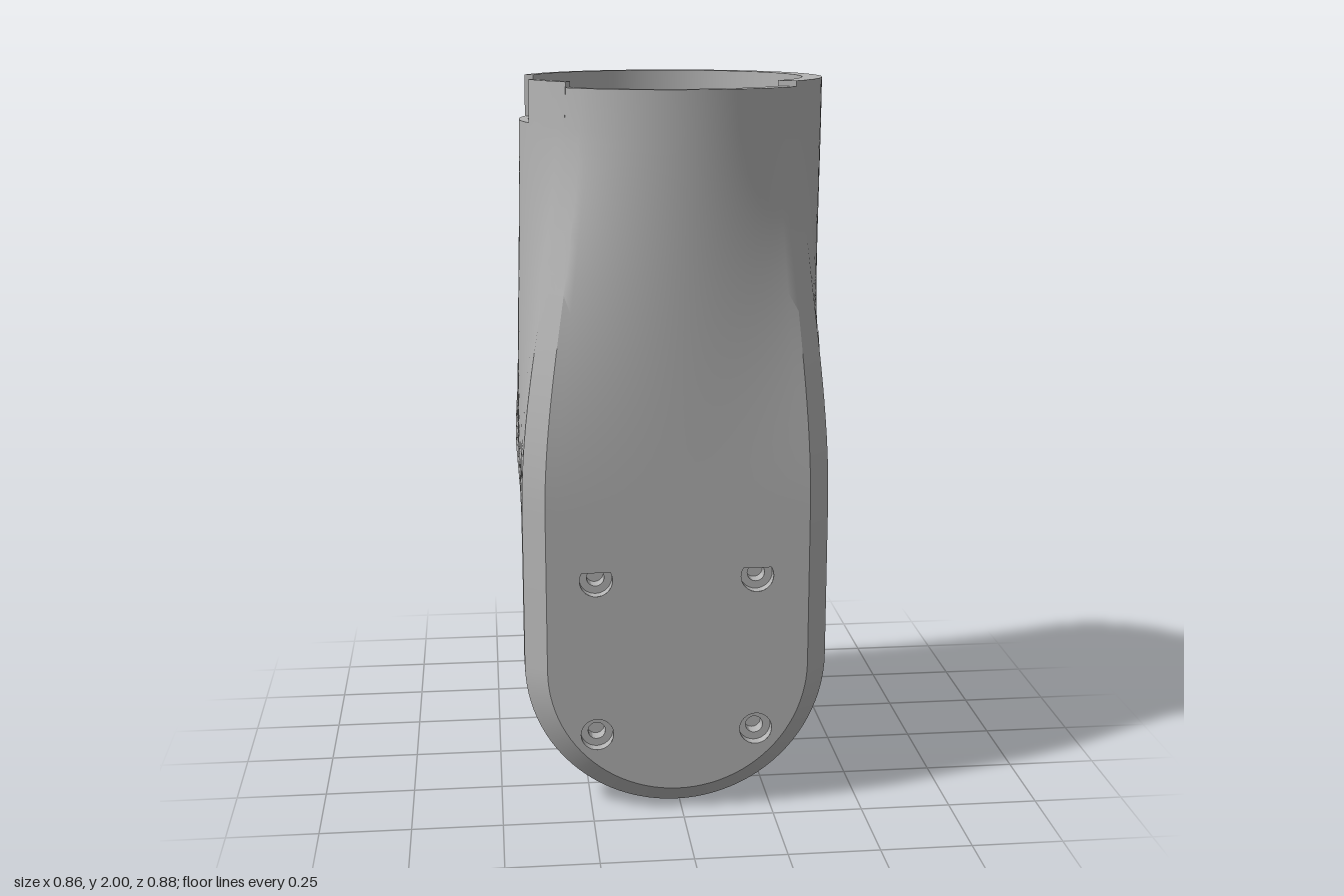
import * as THREE from 'three';
import { toCreasedNormals } from 'three/addons/utils/BufferGeometryUtils.js';

const grey = new THREE.MeshStandardMaterial({ color: 0xb4b4b4, side: THREE.DoubleSide });
grey.name = 'grey';

const BACK = 0.305, FRONT = 0.44, FLOOR = 1.5, SPLIT = 0.7, CX = -0.01, MX = -0.014, MY = 0.453;

// Surface from rows of points, with edges sharper than the crease angle kept
function grid(rows, crease = 0.5) {
  const pos = [], idx = [], n = rows[0].length;
  rows.forEach(r => r.forEach(p => pos.push(...p)));
  for (let i = 0; i < rows.length - 1; i++) for (let j = 0; j < n - 1; j++) {
    const a = i * n + j, b = a + 1, c = a + n, d = c + 1;
    idx.push(a, c, b, b, c, d);
  }
  const g = new THREE.BufferGeometry();
  g.setAttribute('position', new THREE.Float32BufferAttribute(pos, 3));
  g.setIndex(idx);
  return toCreasedNormals(g, crease);
}

function circle(Kind, x, y, r) {
  const p = new Kind();
  p.absarc(x, y, r, 0, Math.PI * 2, false);
  return p;
}
const toShape = pts => new THREE.Shape(pts.map(p => new THREE.Vector2(...p)));

// Height of the concave underside, with a wide fillet running into the front plate
const FILLET = 0.15;
const slope = x => { const u = x + 0.165; return 0.86 + (u + Math.hypot(u, 0.1)) / 2; };
function under(x, z) {
  const d = Math.min(Math.max(z - BACK + FILLET, 0), FILLET);
  return slope(x) - FILLET + Math.sqrt(FILLET * FILLET - d * d);
}

// Horizontal section: a circle at the top blending into a chamfered square
function section(a, y) {
  const c = Math.cos(a), s = Math.sin(a);
  const r = Math.min(0.42 / Math.abs(c), 0.44 / Math.abs(s), 0.8 / (Math.abs(c) + Math.abs(s)));
  const k = THREE.MathUtils.smoothstep(2 - y, 0, 1.14);
  return [(0.01 + 0.42 * c) * (1 - k) + (CX + r * c) * k, (0.02 + 0.42 * s) * (1 - k) + r * s * k];
}

// Split triangles at the middle of their longest edge until all are small
function subdivide(g, max) {
  const src = g.toNonIndexed().attributes.position, out = [];
  const split = (a, b, c, depth) => {
    const l = [a.distanceTo(b), b.distanceTo(c), c.distanceTo(a)], m = Math.max(...l);
    if (m < max || depth > 16) { out.push(...a, ...b, ...c); return; }
    if (m === l[1]) [a, b, c] = [b, c, a];
    else if (m === l[2]) [a, b, c] = [c, a, b];
    const h = a.clone().add(b).multiplyScalar(0.5);
    split(a, h, c, depth + 1);
    split(h, b, c, depth + 1);
  };
  const v = i => new THREE.Vector3().fromBufferAttribute(src, i);
  for (let i = 0; i < src.count; i += 3) split(v(i), v(i + 1), v(i + 2), 0);
  const res = new THREE.BufferGeometry();
  res.setAttribute('position', new THREE.Float32BufferAttribute(out, 3));
  return res;
}

// Lathe whose axis is z; profile is [radius, z]
function latheZ(profile, seg = 64) {
  const g = new THREE.LatheGeometry(profile.map(p => new THREE.Vector2(...p)), seg);
  return toCreasedNormals(g.rotateX(Math.PI / 2), 0.5);
}

export function createModel() {
  const model = new THREE.Group();
  const add = (name, geo, parent = model, x = 0, y = 0, z = 0) => {
    const m = new THREE.Mesh(geo, grey);
    m.name = name;
    m.position.set(x, y, z);
    parent.add(m);
  };
  const addGroup = name => {
    const g = new THREE.Group();
    g.name = name;
    model.add(g);
    return g;
  };

  // Columns of the shell, doubled where the rim or the lower edge steps
  const tb = Math.atan2(BACK, 0.42), e = 1e-4;
  const rimA = 0.76, slotA = Math.PI - 0.34, slotB = Math.PI + 0.315;
  const angles = [];
  for (let i = 0; i <= 128; i++) angles.push(-Math.PI / 2 + i * Math.PI / 64);
  for (const a of [Math.atan2(0.38, 0.42), Math.atan2(0.44, 0.36)])
    angles.push(a, -a, Math.PI - a, Math.PI + a);
  for (const b of [tb, Math.PI - tb, rimA, Math.PI - rimA, slotA, slotB]) angles.push(b - e, b + e);
  angles.sort((a, b) => a - b);

  const isLow = a => a > tb && a < Math.PI - tb;
  const columns = angles.map(a => {
    const top = a > slotA && a < slotB ? 1.885 : a > rimA && a < Math.PI - rimA ? 1.985 : 2;
    let bottom = SPLIT;
    if (!isLow(a)) {
      bottom = 1;
      for (let i = 0; i < 20; i++) bottom = under(...section(a, bottom));
    }
    return { a, top, bottom };
  });

  // Outer shell, rim and bore
  const shell = addGroup('shell');
  add('outerWall', grid(columns.map(({ a, top, bottom }) => {
    const heights = [top];
    for (let k = 0; k <= 10; k++) heights.push(1.88 - 0.038 * k);
    for (let k = 1; k <= 16; k++) heights.push(FLOOR + (bottom - FLOOR) * k / 16);
    return heights.map(y => { const [x, z] = section(a, y); return [x, y, z]; });
  })), shell);
  const inner = (a, y) => [-0.005 + 0.38 * Math.cos(a), y, 0.02 + 0.38 * Math.sin(a)];
  add('rim', grid(columns.map(({ a, top }) => {
    const [x, z] = section(a, top);
    return [[x, top, z], inner(a, top)];
  }), 0.3), shell);
  add('bore', grid(columns.map(({ a, top }) => [top, 1.88, FLOOR].map(y => inner(a, y)))), shell);

  // Floor with bolt holes and a cable slot; the bolt holes widen into pockets below
  const slot = new THREE.Path([[-0.34, -0.065], [-0.272, -0.065], [-0.272, 0.14], [-0.34, 0.14]]
    .map(p => new THREE.Vector2(...p)));
  const bolts = [...Array(6).keys()].map(i => Math.PI / 6 + i * Math.PI / 3)
    .map(a => [-0.005 + 0.187 * Math.cos(a), 0.025 + 0.187 * Math.sin(a)]);
  const boltHoles = r => bolts.map(([x, z]) => circle(THREE.Path, x, z, r));
  const floor = circle(THREE.Shape, -0.005, 0.02, 0.38);
  floor.holes = [...boltHoles(0.025), slot];
  add('floor', new THREE.ShapeGeometry(floor, 24).rotateX(Math.PI / 2), shell, 0, FLOOR);
  const POCKET = 1.45;
  bolts.forEach(([x, z]) => {
    const rows = [];
    for (let i = 0; i <= 32; i++) {
      const c = Math.cos(i * Math.PI / 16), s = Math.sin(i * Math.PI / 16);
      const at = (r, y) => [x + r * c, y, z + r * s];
      rows.push([at(0.025, FLOOR), at(0.025, POCKET), at(0.043, POCKET),
        at(0.043, under(x + 0.043 * c, z + 0.043 * s))]);
    }
    add('boltHole', grid(rows), shell);
  });
  const slotPts = slot.getPoints();
  add('cableSlot', grid([...slotPts, slotPts[0]].map(p => [[p.x, FLOOR, p.y], [p.x, under(p.x, p.y), p.y]])), shell);

  // Curved underside
  const edge = columns.filter(c => !isLow(c.a));
  const ring = [...edge.filter(c => c.a > Math.PI / 2), ...edge.filter(c => c.a < Math.PI / 2).slice(1)];
  const underShape = toShape(ring.map(c => section(c.a, c.bottom)));
  underShape.holes = [...boltHoles(0.043), slot];
  const ug = subdivide(new THREE.ShapeGeometry(underShape, 16).rotateX(Math.PI / 2), 0.03);
  const up = ug.attributes.position, normals = [], h = 0.002;
  for (let i = 0; i < up.count; i++) {
    const x = up.getX(i), z = up.getZ(i);
    up.setY(i, under(x, z));
    const n = new THREE.Vector3((under(x + h, z) - under(x - h, z)) / (2 * h), -1,
      (under(x, z + h) - under(x, z - h)) / (2 * h)).normalize();
    normals.push(n.x, n.y, n.z);
  }
  ug.setAttribute('normal', new THREE.Float32BufferAttribute(normals, 3));
  add('underside', ug, shell);

  // Front plate with a rounded, chamfered lower end
  const plate = addGroup('frontPlate');
  const outline = r => {
    const pts = [[CX - r, SPLIT]];
    for (let i = 0; i <= 48; i++) {
      const a = Math.PI + i * Math.PI / 48;
      pts.push([CX + r * Math.cos(a), 0.42 + r * Math.sin(a)]);
    }
    pts.push([CX + r, SPLIT]);
    return pts;
  };
  const at = (r, z) => outline(r).map(([x, y]) => [x, y, z]);
  add('plateEdge', grid([at(0.42, BACK), at(0.42, 0.38), at(0.36, FRONT)]), plate);
  const face = toShape(outline(0.36));
  const screwSpots = [[-1, -1], [1, -1], [-1, 1], [1, 1]].map(([i, j]) => [MX + 0.221 * i, MY + 0.223 * j]);
  face.holes = screwSpots.map(([x, y]) => circle(THREE.Path, x, y, 0.045));
  add('plateFace', new THREE.ShapeGeometry(face, 24), plate, 0, 0, FRONT);

  // Back of the plate, reaching up to the fillet
  const back = outline(0.42);
  const sideTop = edge.filter(c => c.a < tb).pop().bottom;
  for (let i = 1; i <= 12; i++) {
    const y = SPLIT + (sideTop - SPLIT) * i / 12;
    back.push([section(tb, y)[0], y]);
  }
  const xTop = back[back.length - 1][0];
  for (let i = 1; i <= 30; i++) {
    const x = xTop + (-0.43 - xTop) * i / 30;
    back.push([x, under(x, BACK)]);
  }
  add('plateBack', new THREE.ShapeGeometry(toShape(back)).scale(1, 1, -1), plate, 0, 0, BACK);
  screwSpots.forEach(([x, y]) => add('screwHole', latheZ(
    [[0, -0.07], [0.024, -0.07], [0.024, -0.03], [0.045, -0.03], [0.045, 0]], 32), plate, x, y, FRONT));

  // Motor body, its axis along z
  const motor = addGroup('motor');
  motor.position.set(MX, MY, 0);
  add('motorBody', latheZ([[0, -0.23], [0.35, -0.23], [0.35, 0.178], [0.342, 0.18], [0.342, 0.195],
    [0.33, 0.195], [0.33, 0.23], [0.345, 0.23], [0.345, 0.25], [0.33, 0.25], [0.33, 0.285],
    [0.35, 0.285], [0.35, BACK]], 96), motor);

  // End ring with four notches and rim holes
  const endRing = new THREE.Shape(), half = 0.085;
  for (let q = 0; q < 4; q++) {
    const a = q * Math.PI / 2, c = Math.cos(a), s = Math.sin(a);
    endRing.absarc(0, 0, 0.35, a + half, a + Math.PI / 2 - half, false);
    for (const v of [-0.03, 0.03]) endRing.lineTo(-s * 0.3 - c * v, c * 0.3 - s * v);
  }
  endRing.holes.push(circle(THREE.Path, 0, 0, 0.235));
  for (let q = 0; q < 4; q++) {
    const a = Math.PI / 4 + q * Math.PI / 2;
    endRing.holes.push(circle(THREE.Path, 0.31 * Math.cos(a), 0.31 * Math.sin(a), 0.017));
    add('notchScrew', new THREE.CylinderGeometry(0.02, 0.02, 0.02, 16).rotateX(Math.PI / 2), motor,
      0.322 * Math.cos(a + Math.PI / 4), 0.322 * Math.sin(a + Math.PI / 4), -0.24);
  }
  const extrude = (shape, depth) => toCreasedNormals(
    new THREE.ExtrudeGeometry(shape, { depth, bevelEnabled: false, curveSegments: 24 }), 0.5);
  add('endRing', extrude(endRing, 0.05), motor, 0, 0, -0.28);

  // Output flange with its hole pattern
  const flange = circle(THREE.Shape, 0, 0, 0.225);
  flange.holes.push(circle(THREE.Path, 0, 0, 0.055));
  const hole = (a, d, r) => flange.holes.push(circle(THREE.Path, d * Math.cos(a), d * Math.sin(a), r));
  for (let i = 0; i < 3; i++) {
    const a = Math.PI + i * Math.PI * 2 / 3;
    hole(a, 0.125, 0.042);
    for (const k of [-0.45, 0, 0.45]) hole(a + Math.PI / 3 + k, 0.172, 0.02);
    hole(a + Math.PI / 3, 0.105, 0.02);
  }
  add('outputFlange', extrude(flange, 0.05), motor, 0, 0, -0.29);

  // Connectors and lugs on the side of the motor: [x, y, z, height, depth]
  [[0.325, -0.05, 0.215, 0.14, 0.04], [0.32, 0.09, 0.215, 0.07, 0.035], [0.325, -0.05, 0.262, 0.08, 0.03],
    [0.325, 0.07, 0.258, 0.06, 0.025], [0.12, 0.3, 0.268, 0.06, 0.03], [0.12, -0.3, 0.268, 0.06, 0.03]]
    .forEach(([x, y, z, hh, d]) => add('connector', new THREE.BoxGeometry(0.05, hh, d), motor, x, y, z));

  return model;
}
